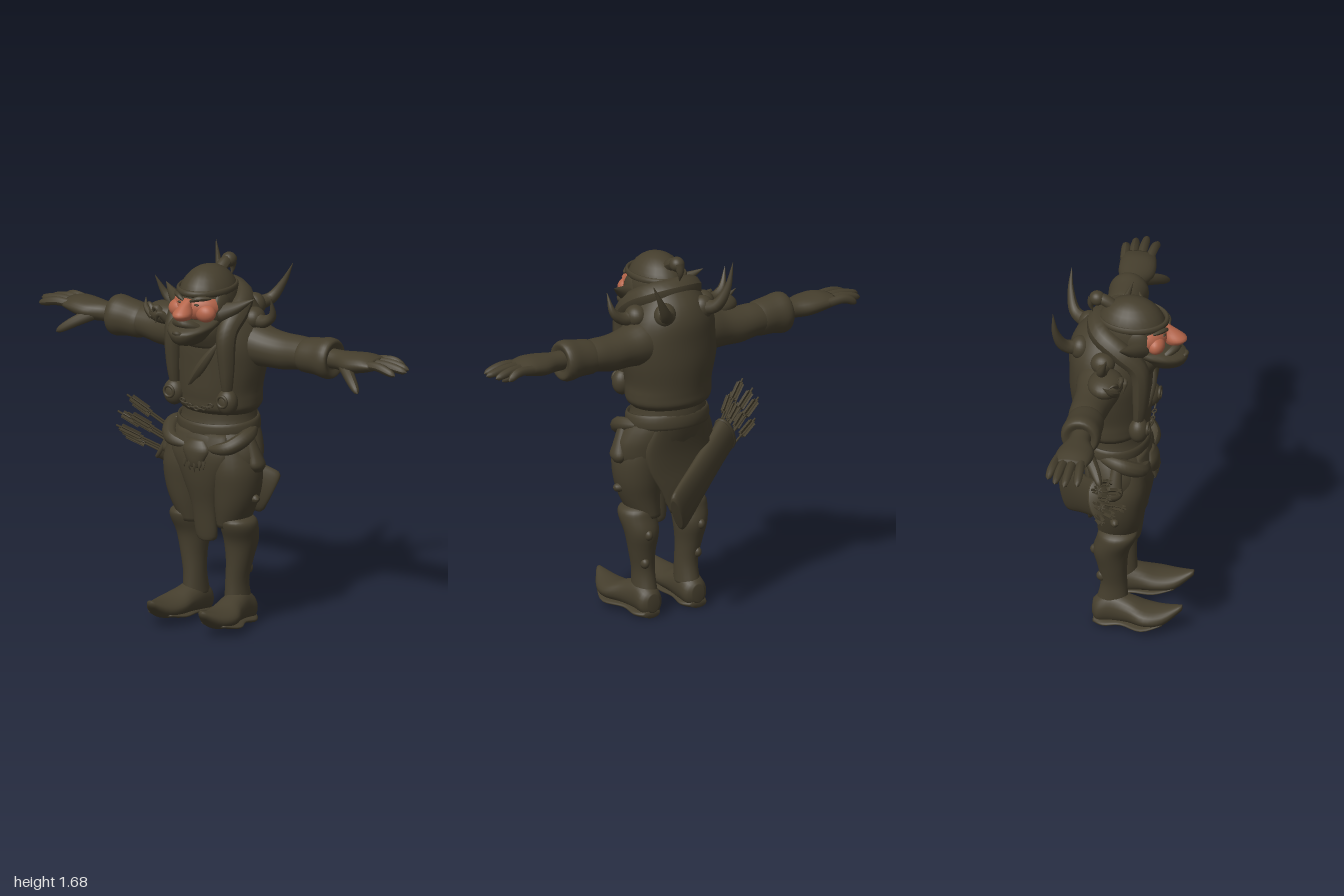
import * as THREE from 'three';

const V = (x, y, z) => new THREE.Vector3(x, y, z);
const mat = (name, color) => Object.assign(new THREE.MeshStandardMaterial({ color }), { name });

export function createModel() {
  const root = new THREE.Group();
  const dark = mat('darkOlive', 0x453e2d);
  const skin = mat('ruddySkin', 0xb5654a);

  const add = (name, geo, m = dark, parent = root) => {
    const mesh = new THREE.Mesh(geo, m);
    mesh.name = name;
    parent.add(mesh);
    return mesh;
  };

  // Smooth closed skin over elliptical rings [x, y, z, a, b] stacked along an axis
  function loft(rings, axis = 'y', sub = 4, seg = 24) {
    const at = (i, k) => rings[Math.max(0, Math.min(rings.length - 1, i))][k];
    const cr = (a, b, c, d, t) => {
      const v = 0.5 * (2 * b + (c - a) * t + (2 * a - 5 * b + 4 * c - d) * t * t + (3 * b - a - 3 * c + d) * t ** 3);
      return Math.max(Math.min(b, c) - 0.01, Math.min(Math.max(b, c) + 0.01, v));
    };
    const list = [];
    for (let i = 0; i < rings.length - 1; i++)
      for (let s = 0; s < sub; s++)
        list.push([0, 1, 2, 3, 4].map(k => cr(at(i - 1, k), at(i, k), at(i + 1, k), at(i + 2, k), s / sub)));
    list.push(rings[rings.length - 1]);
    list.unshift([...list[0].slice(0, 3), 0, 0]);
    list.push([...list[list.length - 1].slice(0, 3), 0, 0]);
    const pos = [], idx = [];
    for (const [x, y, z, a, b] of list)
      for (let j = 0; j < seg; j++) {
        const c = a * Math.cos(j / seg * Math.PI * 2), s = b * Math.sin(j / seg * Math.PI * 2);
        pos.push(...(axis === 'y' ? [x + c, y, z + s] : axis === 'x' ? [x, y + s, z + c] : [x + c, y + s, z]));
      }
    for (let i = 0; i < list.length - 1; i++)
      for (let j = 0; j < seg; j++) {
        const p = i * seg + j, q = i * seg + (j + 1) % seg;
        idx.push(p, q, p + seg, q, q + seg, p + seg);
      }
    // Turn the faces outwards whichever way the rings run
    let vol = 0;
    const P = i => V(pos[i * 3], pos[i * 3 + 1], pos[i * 3 + 2]);
    for (let i = 0; i < idx.length; i += 3) vol += P(idx[i]).dot(P(idx[i + 1]).cross(P(idx[i + 2])));
    if (vol < 0) idx.reverse();
    const g = new THREE.BufferGeometry();
    g.setAttribute('position', new THREE.Float32BufferAttribute(pos, 3));
    g.setIndex(idx);
    g.computeVertexNormals();
    return g;
  }

  // Tube along points whose radius follows a rule of t
  const point = t => 1 - 0.97 * t ** 1.2, finger = t => Math.sqrt(Math.max(0, 1 - t ** 6)), roll = t => Math.sqrt(Math.sin(Math.PI * Math.min(0.995, Math.max(0.005, t))));
  function taper(pts, r, rule = point, n = 16, sides = 10) {
    const curve = new THREE.CatmullRomCurve3(pts.map(p => V(...p)));
    const g = new THREE.TubeGeometry(curve, n, r, sides);
    const p = g.attributes.position, v = V(0, 0, 0);
    for (let i = 0; i < p.count; i++) {
      const t = Math.floor(i / (sides + 1)) / n, c = curve.getPointAt(t);
      v.fromBufferAttribute(p, i).sub(c).multiplyScalar(rule(t)).add(c);
      p.setXYZ(i, v.x, v.y, v.z);
    }
    g.computeVertexNormals();
    return g;
  }
  const ball = (x, y, z, a, b = a, c = a) => new THREE.SphereGeometry(1, 24, 16).scale(a, b, c).translate(x, y, z);

  // Torso, waist and hips
  add('jacket', loft([[0, 0.98, -0.04, 0.17, 0.14], [0, 1.01, -0.04, 0.198, 0.168], [0, 1.05, -0.04, 0.202, 0.172], [0, 1.1, -0.04, 0.203, 0.177], [0, 1.2, -0.045, 0.222, 0.184],
    [0, 1.3, -0.045, 0.228, 0.186], [0, 1.4, -0.05, 0.2, 0.18], [0, 1.48, -0.05, 0.15, 0.148], [0, 1.545, -0.05, 0.1, 0.085]]));
  add('hips', loft([[0, 0.64, 0, 0.14, 0.09], [0, 0.72, 0, 0.23, 0.135], [0, 0.8, -0.005, 0.245, 0.15], [0, 0.87, -0.02, 0.22, 0.157],
    [0, 0.94, -0.04, 0.18, 0.152], [0, 1.02, -0.04, 0.172, 0.145]]));
  add('collar', taper([[0.14, 1.03, 0.095], [0.145, 1.2, 0.11], [0.14, 1.38, 0.1], [0.14, 1.46, 0.02], [0.095, 1.51, -0.07], [0, 1.525, -0.1],
    [-0.095, 1.51, -0.07], [-0.14, 1.46, 0.02], [-0.14, 1.38, 0.1], [-0.145, 1.2, 0.11], [-0.14, 1.03, 0.095]], 0.055, roll, 60));
  add('chestStrap', taper([[0.1, 1.33, 0.11], [0.03, 1.22, 0.13], [-0.06, 1.1, 0.12]], 0.025, roll));
  const belt = add('belt', new THREE.TorusGeometry(1, 0.06, 10, 40).rotateX(Math.PI / 2).scale(0.187, 0.6, 0.155));
  belt.position.set(0, 0.92, -0.033);
  belt.rotation.x = 0.08;
  for (let i = 0; i < 9; i++) {
    const t = i / 4 - 1;
    const link = add('chainLink', new THREE.TorusGeometry(0.012, 0.004, 6, 12).scale(1.1, 0.8, 1));
    link.position.set(t * 0.075, 1.015 + 0.025 * t * t, 0.138);
    link.rotation.x = i % 2 ? 1.3 : 0.2;
  }

  // Front and back cloths
  add('frontCloth', loft([[0, 0.385, 0.06, 0.025, 0.02], [0, 0.41, 0.06, 0.055, 0.03], [0, 0.55, 0.08, 0.065, 0.03], [0, 0.68, 0.105, 0.1, 0.035],
    [0, 0.8, 0.115, 0.15, 0.035], [0, 0.9, 0.095, 0.13, 0.03]]));
  add('backCloth', loft([[0, 0.49, -0.135, 0.05, 0.015], [0, 0.6, -0.133, 0.1, 0.02], [0, 0.7, -0.122, 0.155, 0.028], [0, 0.8, -0.118, 0.17, 0.04], [0, 0.93, -0.14, 0.13, 0.045]]));

  // Beast-skull buckle
  add('buckleSkull', loft([[0, 0.745, 0.145, 0.03, 0.015], [0, 0.78, 0.145, 0.05, 0.025], [0, 0.83, 0.14, 0.07, 0.028], [0, 0.87, 0.13, 0.035, 0.015]]));
  for (const x of [-0.045, -0.02, 0.005, 0.03, 0.05])
    add('buckleFang', taper([[x, 0.78, 0.155], [x * 1.1, 0.745, 0.163], [x, 0.715 + Math.abs(x) * 0.6, 0.155]], 0.011, point, 8, 6));

  // Head, cap and beard
  add('cap', ball(0, 1.505, 0.045, 0.127, 0.155, 0.16));
  add('capBand', new THREE.TorusGeometry(1, 0.07, 10, 40).rotateX(Math.PI / 2).scale(0.117, 0.22, 0.152)).position.set(0, 1.562, 0.054);
  add('topknot', taper([[0, 1.6, -0.02], [0, 1.635, -0.07], [0, 1.655, -0.12]], 0.028, finger));
  add('topknotBun', ball(0, 1.645, -0.11, 0.034, 0.034, 0.036));
  add('topknotTail', taper([[0, 1.65, -0.125], [0, 1.61, -0.138], [0, 1.57, -0.13]], 0.026));
  add('face', ball(0, 1.495, 0.115, 0.122, 0.08, 0.1), skin);
  add('beard', loft([[0, 1.325, 0.18, 0.025, 0.04], [0, 1.345, 0.19, 0.06, 0.09], [0, 1.39, 0.18, 0.095, 0.12], [0, 1.415, 0.15, 0.112, 0.115],
    [0, 1.44, 0.1, 0.115, 0.1]]));
  add('neck', loft([[0, 1.3, 0.06, 0.11, 0.09], [0, 1.38, 0.08, 0.11, 0.11], [0, 1.45, 0.05, 0.11, 0.1]]));
  add('moustache', taper([[-0.085, 1.405, 0.19], [-0.035, 1.43, 0.235], [0, 1.437, 0.25], [0.035, 1.43, 0.235], [0.085, 1.405, 0.19]], 0.022, roll, 24));
  add('lip', taper([[-0.03, 1.395, 0.28], [0, 1.4, 0.295], [0.03, 1.395, 0.28]], 0.01, roll));
  add('nose', loft([[0, 1.538, 0.2, 0.018, 0.015], [0, 1.512, 0.222, 0.026, 0.038], [0, 1.478, 0.245, 0.042, 0.052], [0, 1.452, 0.238, 0.03, 0.038]]), skin);

  for (const s of [1, -1]) {
    const side = new THREE.Group();
    side.name = s > 0 ? 'leftSide' : 'rightSide';
    root.add(side);
    const part = (n, g, m = dark) => add(n, g, m, side);
    const M = list => list.map(([x, ...r]) => [x * s, ...r]);

    // Face details
    part('cheek', ball(s * 0.072, 1.476, 0.17, 0.05, 0.042, 0.04), skin);
    part('sideburn', ball(s * 0.1, 1.485, 0.085, 0.032, 0.08, 0.065));
    part('brow', taper(M([[0.012, 1.527, 0.213], [0.05, 1.544, 0.203], [0.1, 1.545, 0.16]]), 0.012, roll));
    part('eye', ball(s * 0.045, 1.516, 0.201, 0.013, 0.005, 0.008));
    part('ear', taper(M([[0.1, 1.465, 0.1], [0.16, 1.49, 0.075], [0.24, 1.535, 0.035]]), 0.045));

    // Sleeve and puffed cuff
    part('sleeve', loft(M([[0.1, 1.295, -0.06, 0.115, 0.12], [0.18, 1.3, -0.065, 0.105, 0.105], [0.26, 1.29, -0.07, 0.09, 0.088], [0.34, 1.285, -0.078, 0.084, 0.082],
      [0.42, 1.292, -0.08, 0.08, 0.075], [0.5, 1.29, -0.075, 0.078, 0.07]]), 'x'));
    part('cuff', loft(M([[0.43, 1.29, -0.075, 0.07, 0.065], [0.45, 1.29, -0.075, 0.082, 0.078], [0.52, 1.295, -0.075, 0.085, 0.085],
      [0.575, 1.295, -0.075, 0.09, 0.094], [0.605, 1.295, -0.075, 0.076, 0.08], [0.595, 1.295, -0.075, 0.045, 0.045]]), 'x'));

    // Hand
    part('hand', loft(M([[0.58, 1.3, -0.07, 0.045, 0.045], [0.64, 1.3, -0.07, 0.052, 0.044], [0.71, 1.302, -0.068, 0.08, 0.047],
      [0.78, 1.31, -0.072, 0.083, 0.042], [0.84, 1.312, -0.08, 0.076, 0.025]]), 'x'));
    [[-0.137, 0.935, 1.29, -0.157], [-0.1, 0.98, 1.3, -0.118], [-0.066, 1.0, 1.303, -0.072], [-0.03, 0.975, 1.295, -0.018]].forEach(([z0, x1, y1, z1]) =>
      part('finger', taper(M([[0.79, 1.312, z0], [0.88, 1.318, (z0 + z1) / 2], [x1, y1, z1]]), 0.021, finger, 14, 8)));
    part('thumb', taper(M([[0.69, 1.29, -0.03], [0.76, 1.25, 0.02], [0.825, 1.205, 0.06]]), 0.03, t => finger(t) * (1 - 0.35 * t)));

    // Legs, boots with curled toes
    part('thigh', loft(M([[0.1, 0.46, 0.0, 0.065, 0.085], [0.12, 0.55, 0.01, 0.09, 0.1], [0.13, 0.64, 0.01, 0.108, 0.115], [0.13, 0.74, 0.01, 0.112, 0.125], [0.12, 0.84, 0, 0.09, 0.12]])));
    part('bootShaft', loft(M([[0.115, 0.1, -0.02, 0.055, 0.075], [0.115, 0.2, -0.012, 0.05, 0.06], [0.125, 0.3, -0.017, 0.06, 0.066], [0.13, 0.39, -0.022, 0.077, 0.081],
      [0.137, 0.46, 0.002, 0.084, 0.088], [0.137, 0.495, 0.01, 0.076, 0.085], [0.13, 0.515, 0.01, 0.05, 0.06]])));
    part('foot', loft(M([[0.12, 0.07, -0.105, 0.03, 0.04], [0.12, 0.068, -0.08, 0.058, 0.066], [0.12, 0.085, -0.02, 0.062, 0.08], [0.13, 0.082, 0.06, 0.07, 0.062],
      [0.145, 0.073, 0.14, 0.085, 0.045], [0.145, 0.078, 0.22, 0.065, 0.04], [0.14, 0.122, 0.3, 0.014, 0.014]]), 'z'));
    part('sole', loft(M([[0.125, 0.018, -0.1, 0.04, 0.018], [0.125, 0.018, -0.05, 0.068, 0.018], [0.13, 0.03, 0.03, 0.065, 0.014], [0.148, 0.035, 0.13, 0.09, 0.014], [0.145, 0.055, 0.22, 0.06, 0.012]]), 'z'));
    for (const y of [0.39, 0.25]) part('bootToggle', ball(s * 0.14, y, -0.09 + (0.39 - y) * 0.2, 0.02, 0.025, 0.025));
    part('kneeSpike', taper(M([[0.17, 0.62, 0], [0.22, 0.605, 0.01], [0.255, 0.605, 0.02]]), 0.022, finger));

    // Hip drapery and pouch
    part('hipDrape', taper(M([[0.17, 0.91, -0.08], [0.2, 0.89, 0.04], [0.155, 0.85, 0.115], [0.05, 0.83, 0.13]]), 0.035, roll, 24));
    part('pouch', loft(M([[0.235, 0.73, 0.0, 0.02, 0.025], [0.238, 0.76, 0.005, 0.033, 0.045], [0.225, 0.81, 0.01, 0.03, 0.035], [0.19, 0.92, 0.02, 0.02, 0.02]])));

    // Rolled jacket hem at the front and its button
    part('lapelKnot', ball(s * 0.145, 1.06, 0.105, 0.05, 0.06, 0.045));
    part('lapelButton', new THREE.TorusGeometry(0.025, 0.007, 8, 20).translate(s * 0.145, 1.07, 0.147));

    // Side horn on the shoulder
    part('shoulderHorn', taper(M([[0.17, 1.42, -0.05], [0.24, 1.415, -0.04], [0.29, 1.45, -0.035], [0.305 + (s < 0 ? 0.025 : 0), 1.54, -0.005]]), 0.038));
    part('hornCup', ball(s * 0.18, 1.42, -0.05, 0.05, 0.05, 0.055));
  }

  // Long back horns, uneven in reach
  add('backHorn', taper([[0.1, 1.44, -0.17], [0.14, 1.46, -0.235], [0.19, 1.54, -0.265], [0.235, 1.63, -0.27]], 0.035));
  add('backHorn', taper([[-0.1, 1.44, -0.17], [-0.13, 1.46, -0.23], [-0.165, 1.54, -0.265], [-0.19, 1.665, -0.275]], 0.035));
  for (const s of [1, -1]) add('backHornCup', ball(s * 0.1, 1.44, -0.165, 0.052, 0.055, 0.048));

  // Clawed shell on the right shoulder
  add('shoulderShell', ball(-0.27, 1.375, -0.02, 0.1, 0.052, 0.08));
  for (let i = 0; i < 5; i++)
    add('shellClaw', taper([[-0.23 - i * 0.02, 1.36, 0.03], [-0.26 - i * 0.025, 1.39 + (i % 2) * 0.025, 0.065 - i * 0.012], [-0.28 - i * 0.026, 1.34 + i * 0.022, 0.06 - i * 0.018]], 0.024));

  // Flat quiver slung behind the hips, arrows towards the right
  const quiver = new THREE.Group();
  quiver.name = 'quiver';
  const dir = V(-0.45, 0.25, 0.25).normalize();
  const wide = V(0, 1, 0).addScaledVector(dir, -dir.y).normalize();
  quiver.quaternion.setFromRotationMatrix(new THREE.Matrix4().makeBasis(wide, dir, wide.clone().cross(dir)));
  quiver.position.set(0.1, 0.545, -0.27);
  root.add(quiver);
  add('quiverCase', loft([[0, -0.02, 0, 0.08, 0.022], [0, 0.0, 0, 0.105, 0.03], [0, 0.08, 0, 0.105, 0.034], [0, 0.22, 0, 0.095, 0.038], [0, 0.4, 0, 0.088, 0.042], [0, 0.52, 0, 0.088, 0.046]]), dark, quiver);
  add('quiverRim', new THREE.TorusGeometry(1, 0.08, 8, 30).rotateX(Math.PI / 2).scale(0.086, 0.1, 0.046).translate(0, 0.51, 0), dark, quiver);
  for (let i = 0; i < 8; i++) {
    const arrow = new THREE.Group();
    arrow.name = 'arrow';
    arrow.position.set((i - 3.5) * 0.018, 0.48, (i % 3 - 1) * 0.022);
    arrow.rotation.set((i % 3 - 1) * 0.12, 0, (3.5 - i) * 0.03 - 0.06);
    const len = 0.22 + (i * 5 % 4) * 0.02;
    add('arrowShaft', new THREE.CylinderGeometry(0.005, 0.005, len, 6).translate(0, len / 2, 0), dark, arrow);
    for (let k = 0; k < 3; k++)
      add('fletching', new THREE.BoxGeometry(0.036, 0.09, 0.004).rotateY(k * Math.PI / 3).translate(0, len - 0.07, 0), dark, arrow);
    quiver.add(arrow);
  }
  return root;
}
